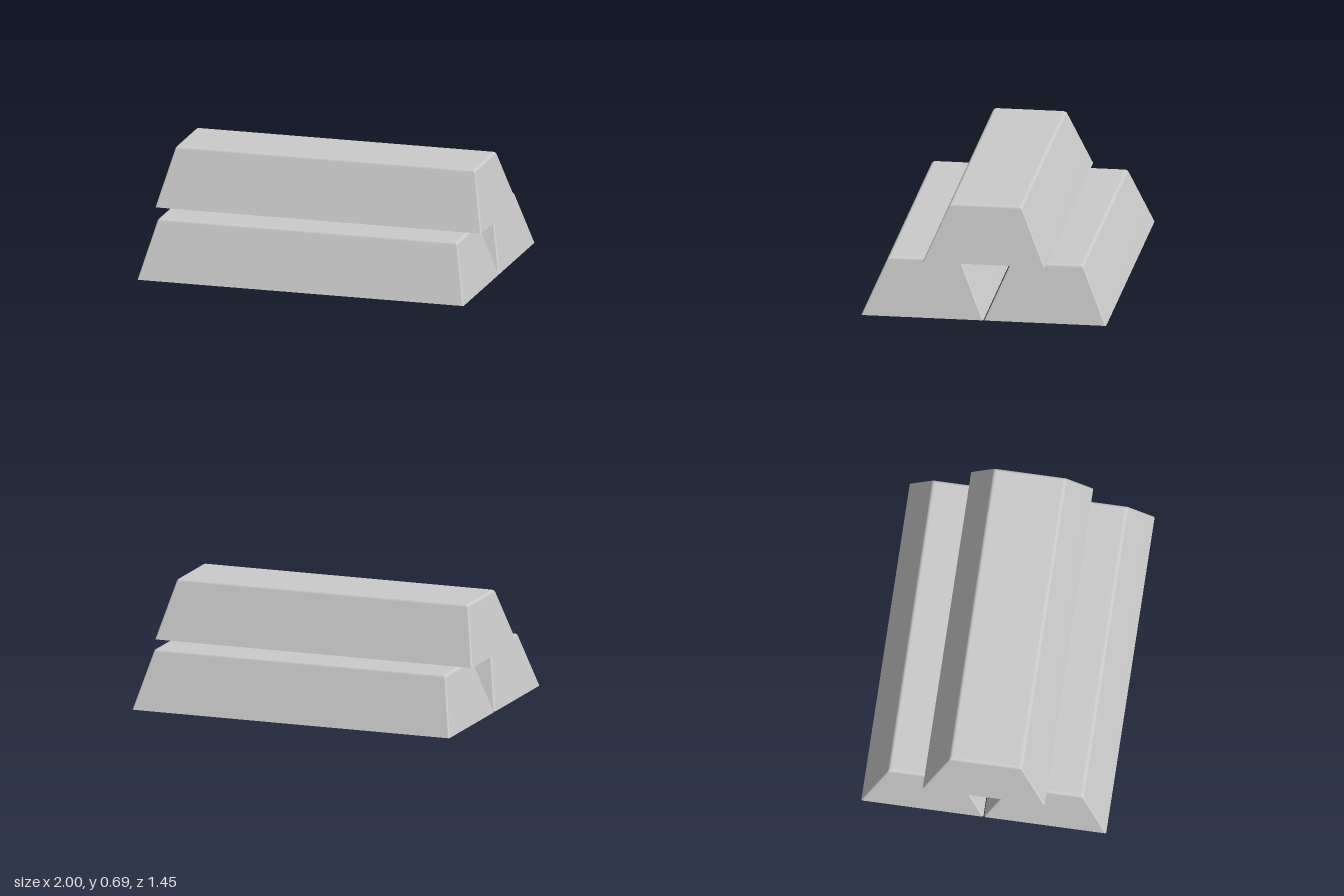
import * as THREE from 'three';

const HEIGHT = 0.341;
const BASE = { x: 1, z: 0.362 };    // half sizes at the open bottom
const TOP = { x: 0.917, z: 0.213 }; // half sizes where side and top planes meet
const FILLET = 0.016;
const CORNER = 0.01;
const STEPS = 4;

// Rounded rectangle in the xz plane, ordered counter-clockwise seen from above
function ring(hx, hz, y) {
  const points = [];
  [[1, 1], [1, -1], [-1, -1], [-1, 1]].forEach(([sx, sz], corner) => {
    for (let i = 0; i <= STEPS; i++) {
      const a = (corner - 1 + i / STEPS) * Math.PI / 2;
      points.push([
        sx * (hx - CORNER) + CORNER * Math.cos(a), y,
        sz * (hz - CORNER) - CORNER * Math.sin(a)]);
    }
  });
  return points;
}

// Tapered hollow shell, open below, with softly rounded edges and top rim
function barGeometry() {
  const rings = [ring(BASE.x, BASE.z, 0)];
  const drop = FILLET / HEIGHT;
  for (let i = 0; i <= STEPS; i++) {
    const t = i / STEPS;
    const a = (1 - t) ** 2 * drop; // weight of the slope
    const b = t * t * FILLET;      // inset along the top
    rings.push(ring(
      TOP.x + (BASE.x - TOP.x) * a - b,
      TOP.z + (BASE.z - TOP.z) * a - b,
      HEIGHT * (1 - a)));
  }
  const n = rings[0].length;
  const index = [];
  for (let k = 0; k < rings.length - 1; k++) {
    for (let i = 0; i < n; i++) {
      const a = k * n + i, b = k * n + (i + 1) % n;
      index.push(a, b, b + n, a, b + n, a + n);
    }
  }
  // Top face
  const last = (rings.length - 1) * n;
  for (let i = 1; i < n - 1; i++) index.push(last, last + i, last + i + 1);

  const geometry = new THREE.BufferGeometry();
  geometry.setAttribute('position', new THREE.Float32BufferAttribute(rings.flat(2), 3));
  geometry.setIndex(index);
  geometry.computeVertexNormals(); // area weighting keeps the large faces flat
  return geometry;
}

export function createModel() {
  const group = new THREE.Group();
  group.name = 'stackedBars';
  const geometry = barGeometry();
  const material = new THREE.MeshStandardMaterial({ color: 0xcccccc, side: THREE.DoubleSide });
  // Two bars side by side, one resting across the pair
  const bars = [['frontBar', 0, 0.364], ['backBar', 0, -0.364], ['topBar', 0.344, 0]];
  for (const [name, y, z] of bars) {
    const bar = new THREE.Mesh(geometry, material);
    bar.name = name;
    bar.position.set(0, y, z);
    group.add(bar);
  }
  return group;
}
